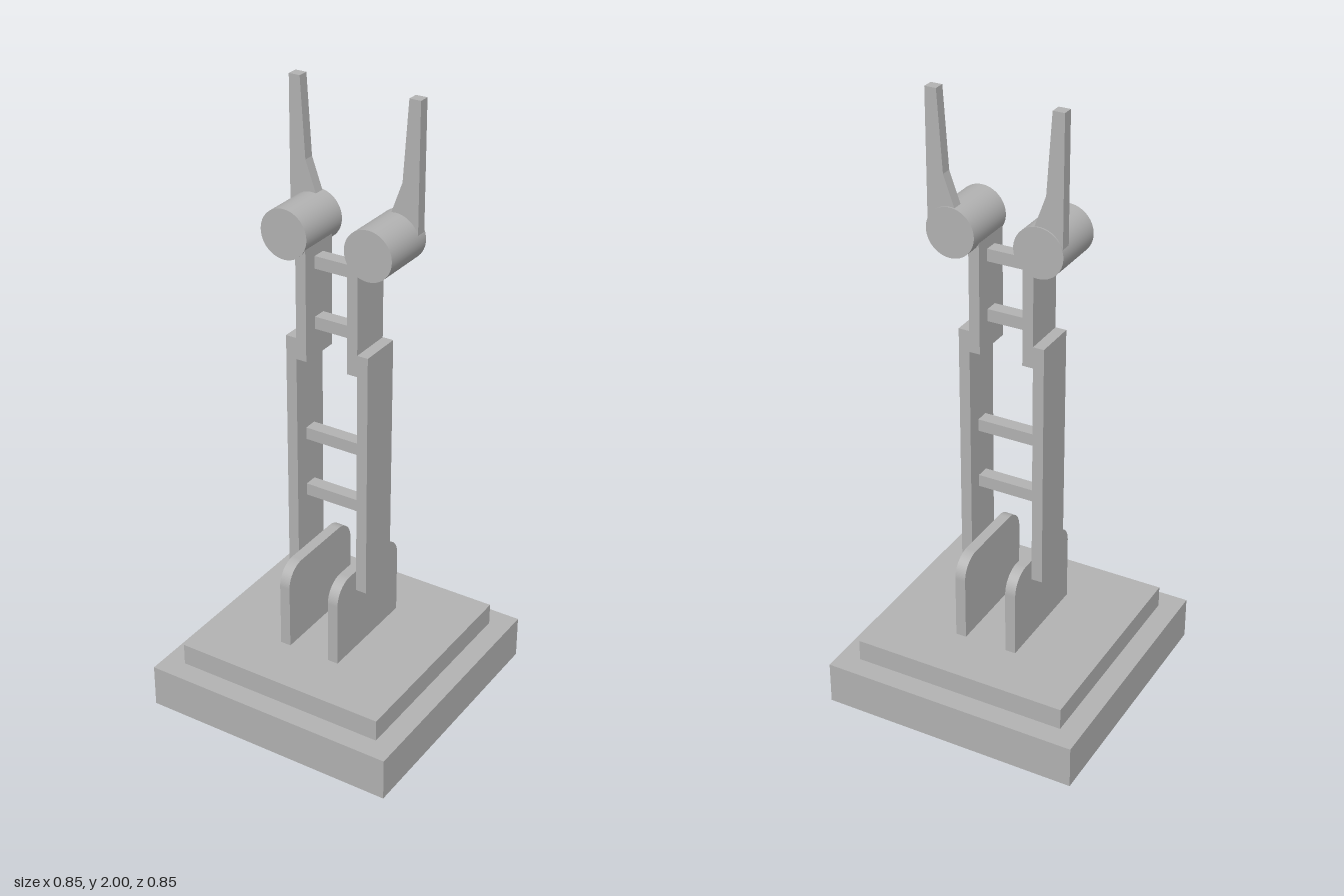
import * as THREE from 'three';

export function createModel() {
  const model = new THREE.Group();
  model.name = 'gripperArm';
  const grey = new THREE.MeshStandardMaterial({ color: 0xb2b2b2 });
  grey.name = 'plain grey';

  const add = (name, geometry) => {
    const mesh = new THREE.Mesh(geometry, grey);
    mesh.name = name;
    model.add(mesh);
    return mesh;
  };
  // Box given by its x and y limits, centred on z = 0
  const box = (name, x0, x1, y0, y1, depth) =>
    add(name, new THREE.BoxGeometry(x1 - x0, y1 - y0, depth))
      .position.set((x0 + x1) / 2, (y0 + y1) / 2, 0);

  // Stepped base
  box('basePlate', -0.427, 0.427, 0, 0.142, 0.854);
  box('baseStep', -0.357, 0.357, 0.142, 0.214, 0.714);

  // Bracket outline with rounded upper corners
  const w = 0.178, h = 0.5, r = 0.071;
  const bracket = new THREE.Shape();
  bracket.moveTo(-w, 0.214);
  bracket.lineTo(w, 0.214);
  bracket.lineTo(w, h - r);
  bracket.absarc(w - r, h - r, r, 0, Math.PI / 2, false);
  bracket.lineTo(r - w, h);
  bracket.absarc(r - w, h - r, r, Math.PI / 2, Math.PI, false);
  bracket.closePath();

  for (const side of [1, -1]) {
    const label = side > 0 ? 'left' : 'right';
    const rail = (name, x0, x1, y0, y1) =>
      box(label + name, Math.min(side * x0, side * x1), Math.max(side * x0, side * x1), y0, y1, 0.142);

    // Bracket plate standing on the base
    const plate = add(label + 'Bracket',
      new THREE.ExtrudeGeometry(bracket, { depth: 0.035, bevelEnabled: false, curveSegments: 12 }));
    plate.rotation.y = Math.PI / 2;
    plate.position.x = side > 0 ? 0.071 : -0.106;

    // Two overlapping arm rails
    rail('LowerArm', 0.106, 0.142, 0.43, 1.25);
    rail('UpperArm', 0.071, 0.106, 1.18, 1.575);

    // Knuckle cylinder lying along z
    const knuckle = add(label + 'Knuckle', new THREE.CylinderGeometry(0.079, 0.079, 0.189, 48));
    knuckle.rotation.x = Math.PI / 2;
    knuckle.position.set(side * 0.142, 1.575, -0.018);

    // Tapered finger at the rear of the knuckle
    const outline = [[0.217, 1.6], [0.217, 2], [0.18, 2], [0.163, 1.75], [0.125, 1.645], [0.15, 1.6]];
    const finger = new THREE.Shape(outline.map(([x, y]) => new THREE.Vector2(side * x, y)));
    add(label + 'Finger', new THREE.ExtrudeGeometry(finger, { depth: 0.035, bevelEnabled: false }))
      .position.z = -0.108;
  }

  // Rungs joining the arm rails
  for (const [halfWidth, y] of [[0.107, 0.703], [0.107, 0.903], [0.072, 1.289], [0.072, 1.484]]) {
    box('rung', -halfWidth, halfWidth, y - 0.02, y + 0.02, 0.044);
  }

  return model;
}
